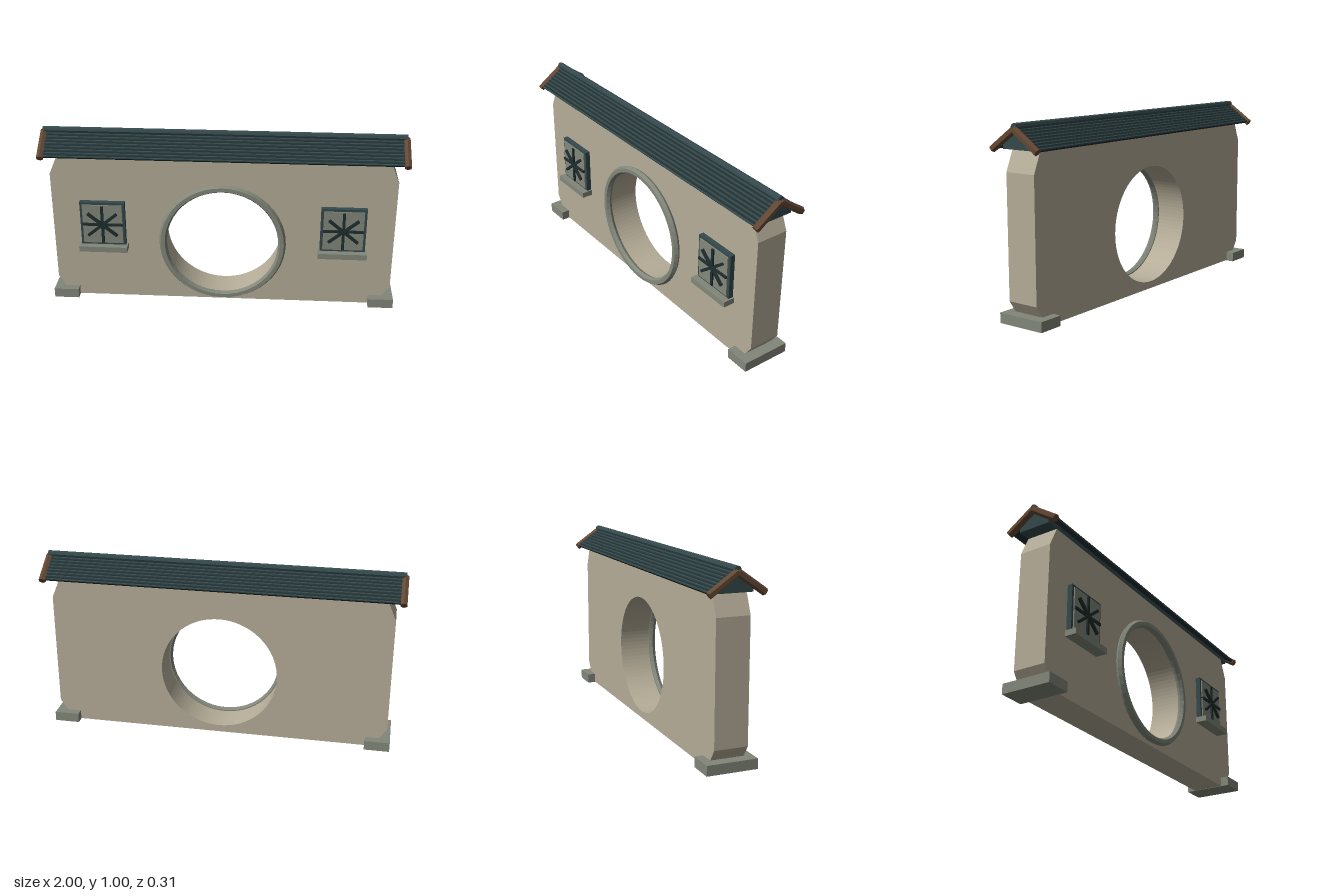
import * as THREE from 'three';

const flat = (name, hex) => {
  const m = new THREE.MeshStandardMaterial({ color: hex, flatShading: true });
  m.name = name;
  return m;
};

export function createModel() {
  const plaster = flat('plaster', 0xb5ad98);
  const stone = flat('stone', 0x82877a);
  const teal = flat('teal', 0x34494c);
  const dark = flat('darkTile', 0x1f2d2e);
  const wood = flat('wood', 0x654834);

  const model = new THREE.Group();
  model.name = 'moonGateWall';

  const add = (parent, name, geo, mat, x = 0, y = 0, z = 0) => {
    const m = new THREE.Mesh(geo, mat);
    m.name = name;
    m.position.set(x, y, z);
    parent.add(m);
    return m;
  };
  const box = (w, h, d) => new THREE.BoxGeometry(w, h, d);
  const prism = (shape, depth) =>
    new THREE.ExtrudeGeometry(shape, { depth, bevelEnabled: false, curveSegments: 48 })
      .translate(0, 0, -depth / 2);
  const polygon = pts => new THREE.Shape(pts.map(([x, y]) => new THREE.Vector2(x, y)));

  // Wall with clipped corners and a round opening
  const gateY = 0.37;
  const outline = polygon([
    [-0.875, 0.002], [0.875, 0.002], [0.95, 0.115], [0.95, 0.76],
    [0.9, 0.877], [-0.9, 0.877], [-0.95, 0.76], [-0.95, 0.115],
  ]);
  const hole = new THREE.Path();
  hole.absarc(0, gateY, 0.328, 0, Math.PI * 2, true);
  outline.holes.push(hole);
  add(model, 'wall', prism(outline, 0.18), plaster);

  // Faceted stone ring on the front of the opening
  add(model, 'gateRing', new THREE.TorusGeometry(0.333, 0.0215, 6, 48), stone, 0, gateY, 0.105);

  for (const side of [-1, 1]) {
    // Foot stones
    add(model, 'footStone', box(0.14, 0.054, 0.274), stone, side * 0.9, 0.027, 0);

    // Lattice windows
    const win = new THREE.Group();
    win.name = 'window';
    win.position.set(side * 0.667, 0.475, 0.09);
    model.add(win);
    add(win, 'windowFrame', box(0.25, 0.26, 0.028), teal, 0, 0, 0.014);
    add(win, 'windowPanel', box(0.222, 0.232, 0.007), stone, 0, 0, 0.031);
    add(win, 'verticalBar', box(0.015, 0.222, 0.014), dark, 0, 0, 0.037);
    add(win, 'horizontalBar', box(0.222, 0.014, 0.014), dark, 0, 0, 0.037);
    for (const s of [-1, 1]) {
      add(win, 'diagonalBar', box(0.21, 0.015, 0.014), dark, 0, 0, 0.041).rotation.z = s * 0.69;
    }
    add(win, 'windowSill', box(0.27, 0.032, 0.066), stone, 0, -0.144, 0.033);
  }

  // Gable filling between the roof slopes
  const gable = prism(polygon([[-0.09, 0.875], [0.09, 0.875], [0.09, 0.908], [0, 0.968], [-0.09, 0.908]]), 1.94);
  add(model, 'gable', gable, teal).rotation.y = Math.PI / 2;

  // Two roof slopes, each with ribs and end rails
  for (const turn of [0, Math.PI]) {
    const half = new THREE.Group();
    half.name = 'roofHalf';
    half.rotation.y = turn;
    half.position.y = 0.974;
    model.add(half);
    const slope = new THREE.Group();
    slope.name = 'roofSlope';
    slope.rotation.x = THREE.MathUtils.degToRad(35);
    half.add(slope);

    add(slope, 'roofSlab', box(1.975, 0.014, 0.168), dark, 0, 0, 0.084);
    for (let i = 0; i < 8; i++) {
      const rib = new THREE.CylinderGeometry(0.0055, 0.0055, 1.98, 6);
      add(slope, 'roofRib', rib, teal, 0, 0.007, 0.018 + i * 0.021).rotation.z = Math.PI / 2;
    }
    for (const side of [-1, 1]) {
      const rail = new THREE.CylinderGeometry(0.02, 0.02, 0.178, 6);
      add(slope, 'endRail', rail, wood, side * 0.9827, 0, 0.088).rotation.x = Math.PI / 2;
    }
  }

  // Ridge pole
  const ridge = new THREE.CylinderGeometry(0.018, 0.018, 1.975, 8);
  add(model, 'ridgePole', ridge, teal, 0, 0.986, 0).rotation.z = Math.PI / 2;

  return model;
}
